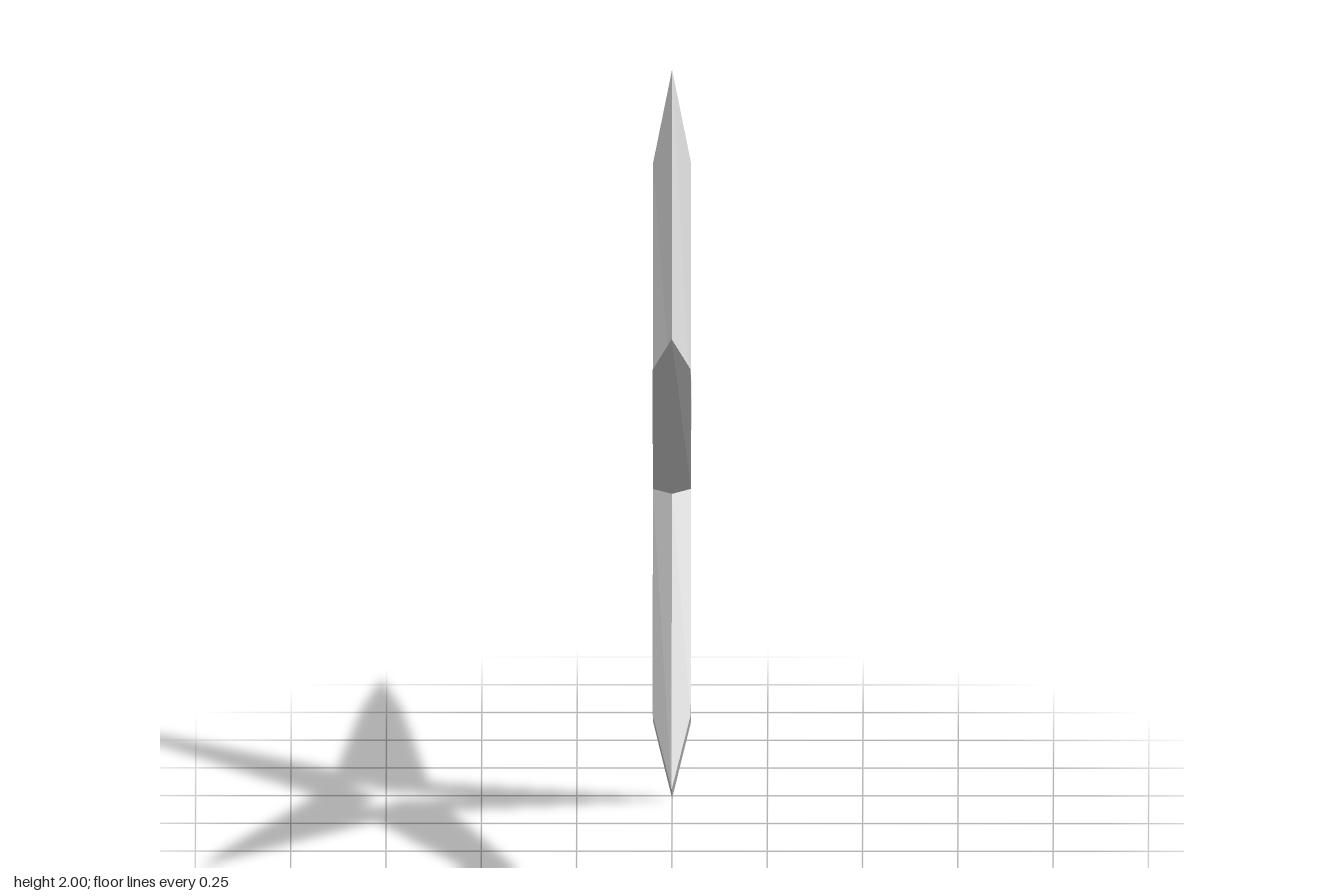
import * as THREE from 'three';

const CENTRE_Y = 1, CENTRE_Z = 0.1, HALF_THICKNESS = 0.05;

// A ten-cornered star outline in the plane at x
function starRing(tipRadius, notchRadius, x) {
  return Array.from({ length: 10 }, (_, k) => {
    const a = (k * Math.PI) / 5, r = k % 2 ? notchRadius : tipRadius;
    return [x, CENTRE_Y + r * Math.sin(a), CENTRE_Z - r * Math.cos(a)];
  });
}

// Joins each ring to the next, and the last back to the first
function loftClosed(rings) {
  const pos = [];
  rings.forEach((ring, i) => {
    const next = rings[(i + 1) % rings.length];
    for (let k = 0; k < ring.length; k++) {
      const k1 = (k + 1) % ring.length;
      pos.push(...ring[k], ...ring[k1], ...next[k1]);
      pos.push(...ring[k], ...next[k1], ...next[k]);
    }
  });
  const geo = new THREE.BufferGeometry();
  geo.setAttribute('position', new THREE.Float32BufferAttribute(pos, 3));
  geo.computeVertexNormals();
  return geo;
}

export function createModel() {
  const group = new THREE.Group();
  group.name = 'openStar';

  // Sharp outer edge, bevel to a flat face, straight-walled star hole, and back
  const geometry = loftClosed([
    starRing(1.051, 0.215, 0),
    starRing(0.805, 0.17, HALF_THICKNESS),
    starRing(0.39, 0.085, HALF_THICKNESS),
    starRing(0.39, 0.085, -HALF_THICKNESS),
    starRing(0.805, 0.17, -HALF_THICKNESS),
  ]);
  const star = new THREE.Mesh(
    geometry,
    new THREE.MeshStandardMaterial({ color: 0xcccccc, flatShading: true })
  );
  star.name = 'starFrame';
  group.add(star);
  return group;
}
